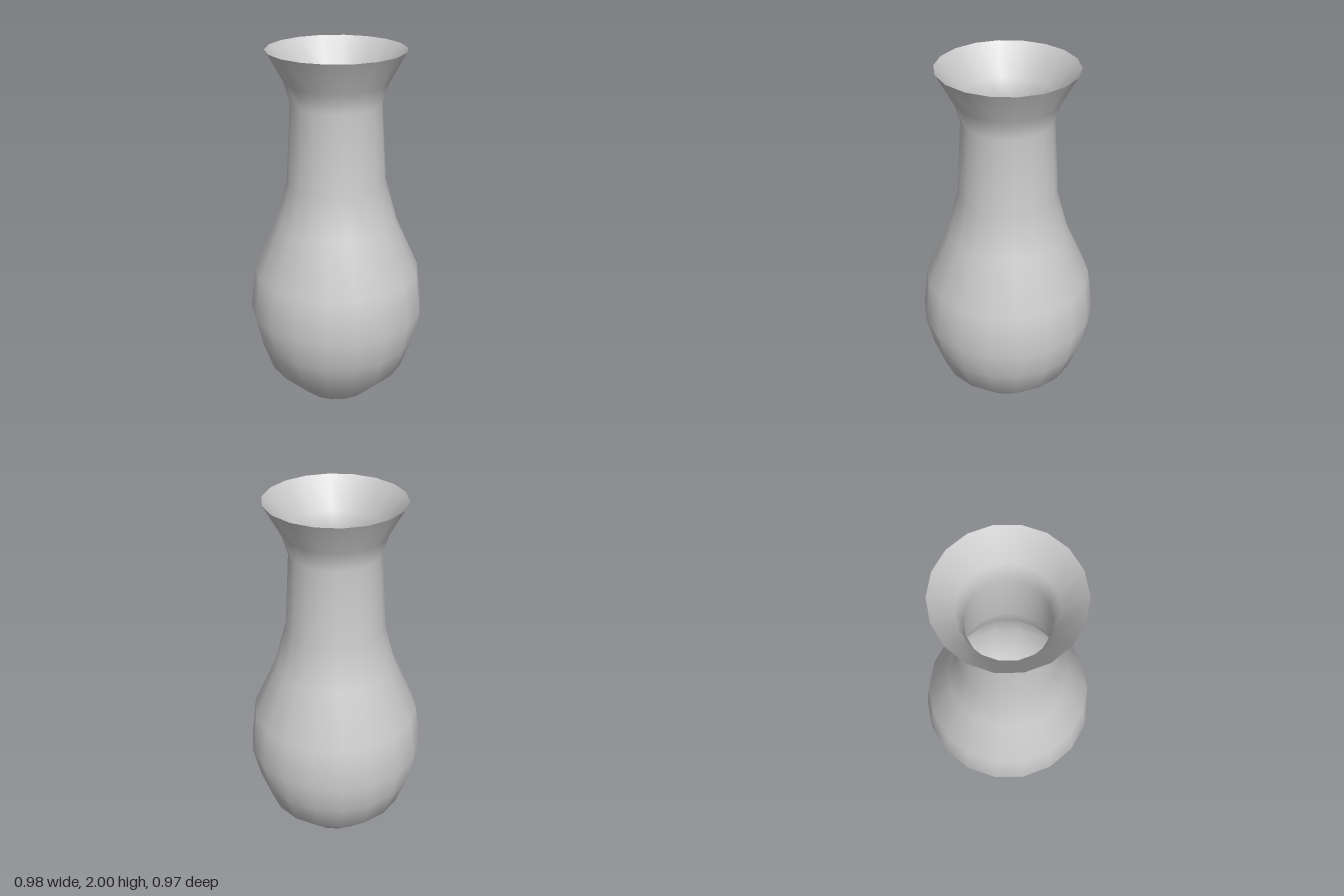
import * as THREE from 'three';

const SIDES = 18;
const material = new THREE.MeshStandardMaterial({ color: 0xcccccc });

// Turn a [radius, height] profile around y, with a corner on the x axis
function turned(name, profile) {
  const points = profile.map(([r, y]) => new THREE.Vector2(r, y));
  const geometry = new THREE.LatheGeometry(points, SIDES, Math.PI / 2);
  const mesh = new THREE.Mesh(geometry, material);
  mesh.name = name;
  return mesh;
}

export function createModel() {
  const vase = new THREE.Group();
  vase.name = 'vase';

  // Outer wall: bulging body, narrow neck and flared lip, from foot to rim
  const outer = [
    [0.21, 0], [0.39, 0.18], [0.45, 0.35], [0.49, 0.53], [0.46, 0.77],
    [0.335, 1.05], [0.27, 1.29], [0.245, 1.72], [0.277, 1.83], [0.37, 2],
  ];

  // Inner wall: runs down from the sharp rim, a wall's thickness inside
  const inner = [
    [0.37, 2], [0.25, 1.84], [0.215, 1.72], [0.24, 1.28], [0.305, 1.04],
    [0.43, 0.76], [0.46, 0.53], [0.42, 0.36], [0.365, 0.2], [0.195, 0.03],
  ];

  vase.add(
    turned('outerWall', outer),
    turned('innerWall', inner),
    turned('base', [[0, 0], [0.21, 0]]),
    turned('innerFloor', [[0.195, 0.03], [0, 0.03]]),
  );
  return vase;
}
